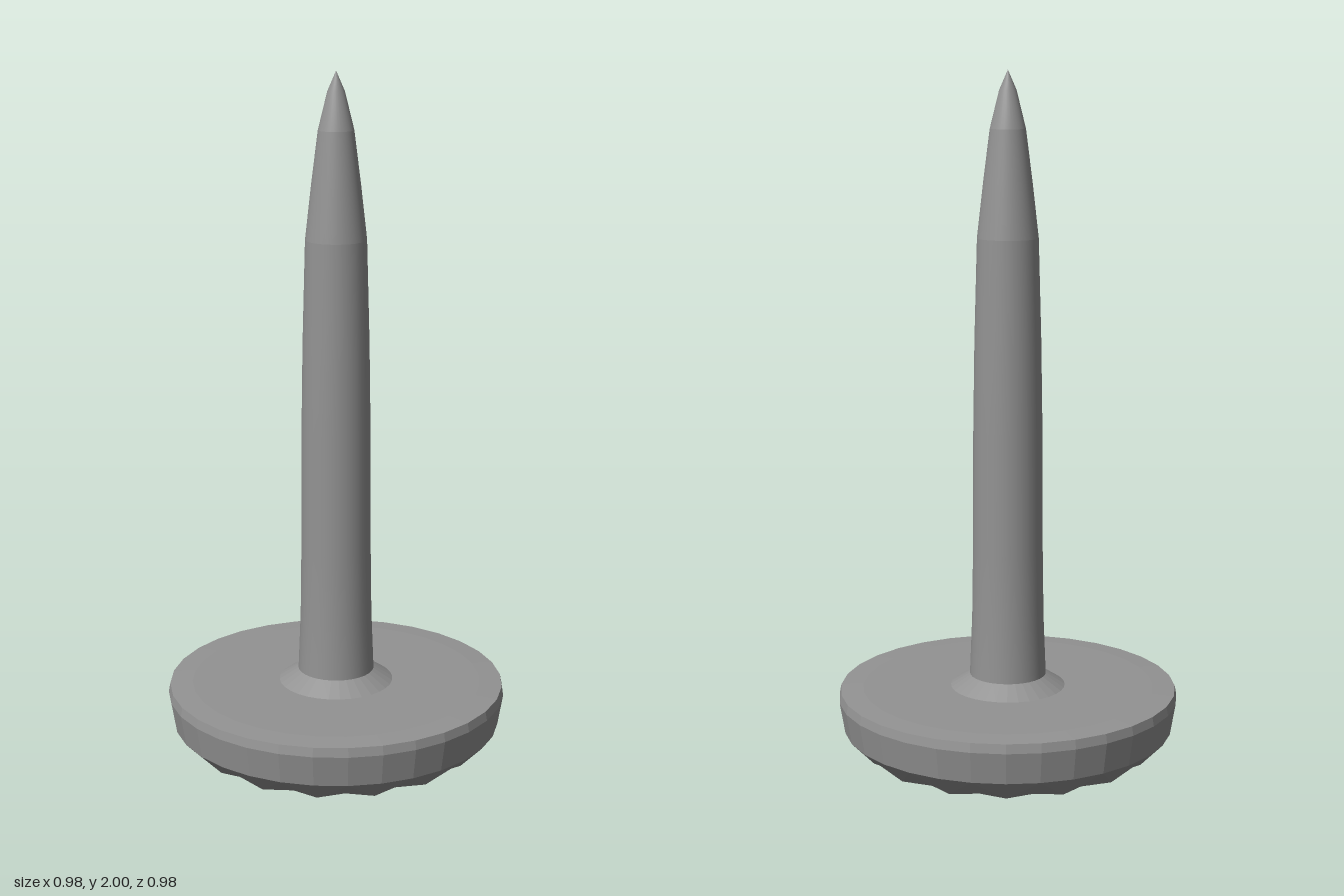
import * as THREE from 'three';

const SIDES = 32;
const COLOR = 0x939393;
const pts = (list) => list.map(([r, y]) => new THREE.Vector2(r, y));

function lathe(name, profile, flatShading) {
  const geometry = new THREE.LatheGeometry(pts(profile), SIDES);
  const mesh = new THREE.Mesh(geometry, new THREE.MeshStandardMaterial({ color: COLOR, flatShading }));
  mesh.name = name;
  return mesh;
}

export function createModel() {
  const group = new THREE.Group();
  group.name = 'tack';

  // Disc-shaped head: shallow cone below, faceted rim, flat top
  const headProfile = [
    [0, 0.003], [0.41, 0.058], [0.475, 0.125], [0.49, 0.215],
    [0.485, 0.241], [0.42, 0.245], [0, 0.245],
  ];
  const head = lathe('head', headProfile, true);

  // Pull every other vertex of the lower ring in along the cone for the
  // zigzag facets, and mirror the diagonals so each tooth is symmetric
  const pos = head.geometry.attributes.position;
  const index = head.geometry.index;
  const n = headProfile.length;
  for (let i = 0; i < SIDES; i += 2) {
    const angle = ((i + 1) / SIDES) * Math.PI * 2;
    pos.setXYZ((i + 1) * n + 1, Math.sin(angle) * 0.37, 0.0525, Math.cos(angle) * 0.37);

    const a = i * n + 1, b = a + n, c = b + 1, d = a + 1;
    const start = (i * (n - 1) + 1) * 6;
    [a, b, c, a, c, d].forEach((v, k) => index.setX(start + k, v));
  }
  group.add(head);

  // Sloped collar where the pin meets the head
  group.add(lathe('collar', [[0.167, 0.244], [0.11, 0.28], [0, 0.28]], true));

  // Tapered pin
  group.add(lathe('pin', [
    [0.11, 0.28], [0.103, 0.45], [0.1, 0.65], [0.098, 1.0], [0.094, 1.25], [0.086, 1.54],
  ], false));

  // Narrowing shoulder and sharp point
  group.add(lathe('shoulder', [[0.086, 1.54], [0.069, 1.69], [0.05, 1.84]], false));
  group.add(lathe('point', [[0.05, 1.84], [0.024, 1.945], [0, 2]], false));

  return group;
}
